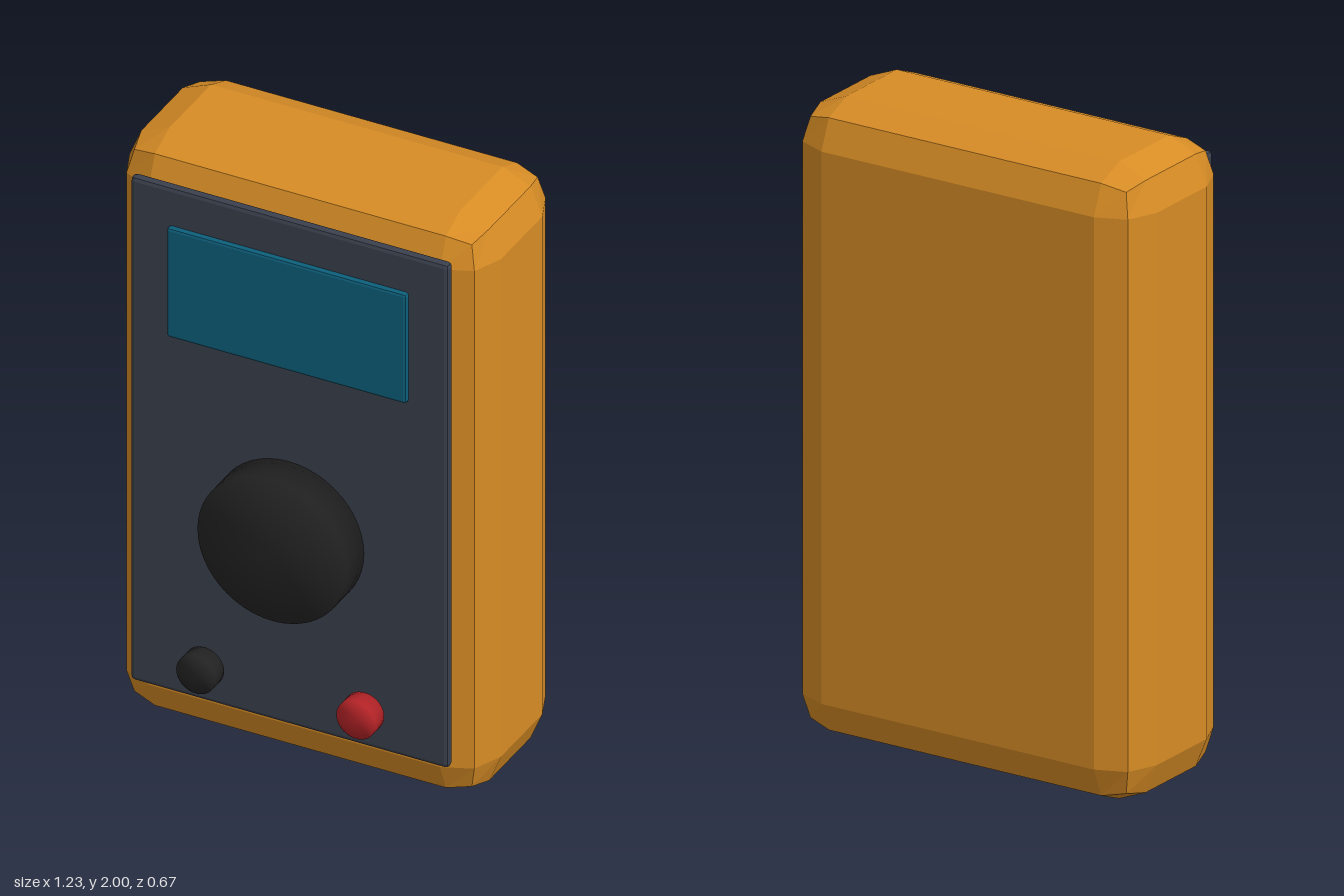
import * as THREE from 'three';
import { mergeVertices } from 'three/addons/utils/BufferGeometryUtils.js';

const paint = (name, color) => {
  const m = new THREE.MeshStandardMaterial({ color });
  m.name = name;
  return m;
};

// Box from min to max corner whose edges carry a two-step bevel of radius r.
function bevelBox(min, max, r) {
  const half = max.map((v, i) => (v - min[i]) / 2 - r);
  const geo = new THREE.BoxGeometry(1, 1, 1, 3, 3, 3);
  const pos = geo.attributes.position;
  const dir = new THREE.Vector3();
  for (let i = 0; i < pos.count; i++) {
    const p = [pos.getX(i), pos.getY(i), pos.getZ(i)];
    // outer grid rows lean outward, inner rows bound the flat faces
    dir.fromArray(p.map(v => (Math.abs(v) > 0.4 ? Math.sign(v) : 0))).normalize();
    const d = dir.toArray();
    const q = p.map((v, k) => (min[k] + max[k]) / 2 + Math.sign(v) * half[k] + d[k] * r);
    pos.setXYZ(i, q[0], q[1], q[2]);
  }
  const flat = geo.toNonIndexed();
  flat.computeVertexNormals();
  return flat;
}

// Disc facing +z, with normals blended softly over the rim.
function softDisc(x, y, z0, z1, radius) {
  let geo = new THREE.CylinderGeometry(radius, radius, z1 - z0, 48);
  geo.deleteAttribute('normal');
  geo.deleteAttribute('uv');
  geo = mergeVertices(geo);
  geo.computeVertexNormals();
  return geo.rotateX(Math.PI / 2).translate(x, y, (z0 + z1) / 2);
}

export function createModel() {
  const group = new THREE.Group();
  group.name = 'multimeter';

  const orange = paint('orange case', 0xd78c25);
  const slate = paint('slate panel', 0x3a404d);
  const teal = paint('teal screen', 0x0d5f7b);
  const black = paint('black plastic', 0x242424);
  const red = paint('red plastic', 0xb82428);

  const add = (name, geo, mat) => {
    const mesh = new THREE.Mesh(geo, mat);
    mesh.name = name;
    group.add(mesh);
  };

  // Case and face plate
  add('case', bevelBox([-0.615, 0, -0.333], [0.615, 2, 0.195], 0.133), orange);
  add('facePanel', bevelBox([-0.527, 0.155, 0.195], [0.527, 1.91, 0.228], 0.014), slate);
  add('screen', bevelBox([-0.397, 1.4, 0.221], [0.397, 1.78, 0.247], 0.009), teal);

  // Selector dial and the two probe sockets
  add('selectorDial', softDisc(0, 0.825, 0.222, 0.333, 0.248), black);
  add('rightSocket', softDisc(-0.265, 0.298, 0.256, 0.311, 0.065), black);
  add('leftSocket', softDisc(0.265, 0.298, 0.256, 0.311, 0.065), red);

  return group;
}
